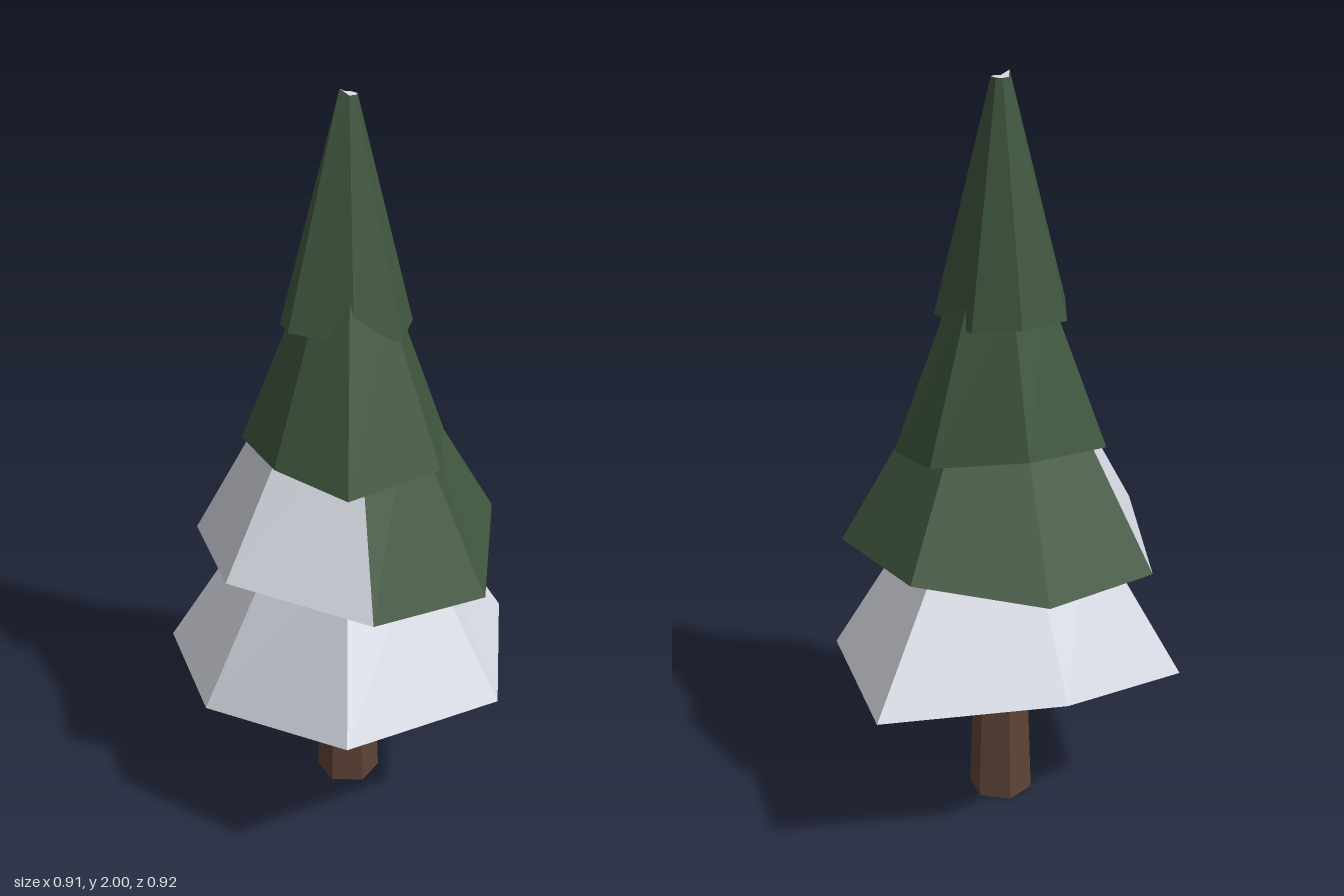
import * as THREE from 'three';

const AXIS = new THREE.Vector3(0.015, 0, -0.02);

// Seven-sided skirt of branches: a jagged rim rising to a narrower ring, with a closed underside.
// The rim runs counterclockwise seen from above, starting at the front left.
function makeTier(name, { rim, topY, shrink, snowFaces = [], peaks = {}, cap = false }, materials) {
  const low = rim.map(p => new THREE.Vector3(...p));
  const high = low.map((p, i) => peaks[i]
    ? new THREE.Vector3(...peaks[i])
    : new THREE.Vector3().lerpVectors(AXIS, p, shrink).setY(topY));
  const n = low.length;
  const mean = pts => pts.reduce((s, p) => s.add(p), new THREE.Vector3()).divideScalar(n);
  const lowMid = mean(low), highMid = mean(high);
  const green = [], snow = [];
  for (let i = 0; i < n; i++) {
    const j = (i + 1) % n;
    const side = snowFaces.includes(i) ? snow : green;
    side.push(low[i], low[j], high[j], low[i], high[j], high[i]);
    green.push(lowMid, low[j], low[i]);
    if (cap) snow.push(highMid, high[i], high[j]);
  }
  const geometry = new THREE.BufferGeometry().setFromPoints([...green, ...snow]);
  geometry.addGroup(0, green.length, 0);
  if (snow.length) geometry.addGroup(green.length, snow.length, 1);
  geometry.computeVertexNormals();
  const mesh = new THREE.Mesh(geometry, materials);
  mesh.name = name;
  return mesh;
}

export function createModel() {
  const needleGreen = new THREE.MeshStandardMaterial({ color: 0x3f563e });
  needleGreen.name = 'needleGreen';
  const snowWhite = new THREE.MeshStandardMaterial({ color: 0xd6d9e2 });
  snowWhite.name = 'snowWhite';
  const barkBrown = new THREE.MeshStandardMaterial({ color: 0x5e4336 });
  barkBrown.name = 'barkBrown';

  const tree = new THREE.Group();
  tree.name = 'snowyTree';

  // Tapered hexagonal trunk
  const trunkGeometry = new THREE.CylinderGeometry(0.07, 0.0875, 0.5, 6).toNonIndexed();
  trunkGeometry.computeVertexNormals();
  const trunk = new THREE.Mesh(trunkGeometry, barkBrown);
  trunk.name = 'trunk';
  trunk.position.set(0.015, 0.25, -0.022);
  tree.add(trunk);

  const tiers = {
    // Widest tier, covered in snow all round
    bottomBranches: {
      rim: [[-0.25, 0.465, 0.46], [0.22, 0.435, 0.43], [0.45, 0.475, 0.08], [0.455, 0.475, -0.38],
        [-0.02, 0.485, -0.46], [-0.4, 0.425, -0.295], [-0.455, 0.405, 0.05]],
      topY: 0.85, shrink: 0.47, snowFaces: [0, 1, 2, 3, 4, 5, 6],
    },
    // Snow lies on two faces only
    lowerBranches: {
      rim: [[-0.12, 0.735, 0.36], [0.22, 0.715, 0.35], [0.43, 0.79, 0.05], [0.335, 0.79, -0.28],
        [0, 0.72, -0.375], [-0.305, 0.74, -0.31], [-0.395, 0.79, 0.075]],
      topY: 1.2, shrink: 0.43, snowFaces: [5, 6],
    },
    // Two ridges poke through the tier above
    upperBranches: {
      rim: [[-0.13, 1.04, 0.245], [0.14, 1.06, 0.24], [0.295, 1.04, 0], [0.255, 1.06, -0.19],
        [0.04, 1.1, -0.325], [-0.22, 1.055, -0.18], [-0.24, 1.07, 0.055]],
      topY: 1.48, shrink: 0.42, peaks: { 0: [-0.03, 1.54, 0.07], 2: [0.155, 1.42, -0.012] },
    },
    // Pointed crown with a fleck of snow at the tip
    crown: {
      rim: [[-0.04, 1.395, 0.11], [0.09, 1.385, 0.125], [0.175, 1.39, 0.03], [0.13, 1.385, -0.145],
        [0.02, 1.4, -0.21], [-0.13, 1.385, -0.12], [-0.168, 1.41, 0]],
      topY: 1.985, shrink: 0.13, cap: true, peaks: { 6: [-0.01, 2, -0.02] },
    },
  };
  for (const [name, spec] of Object.entries(tiers)) {
    tree.add(makeTier(name, spec, [needleGreen, snowWhite]));
  }
  return tree;
}
